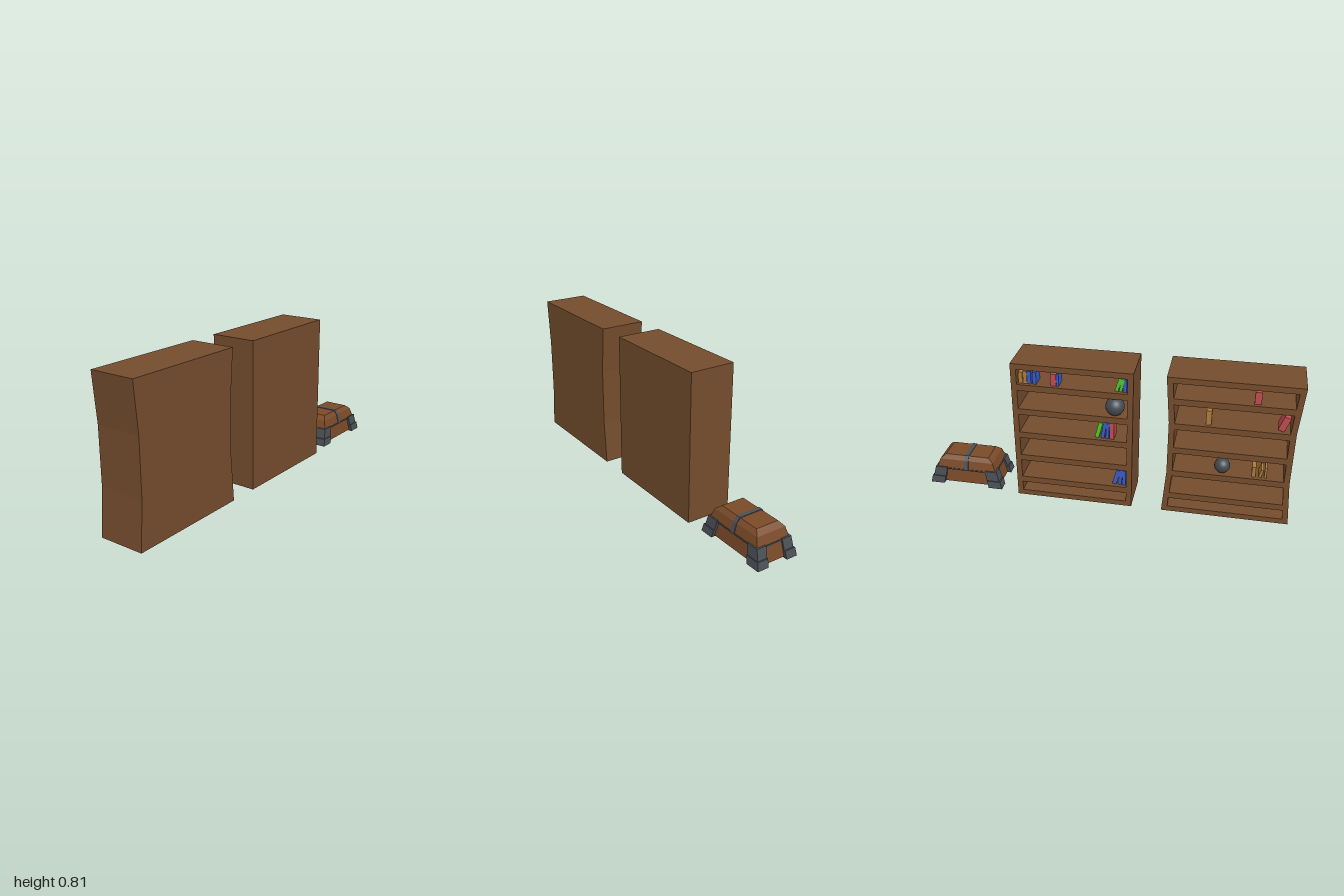
import * as THREE from 'three';

const mat = (name, color) => Object.assign(new THREE.MeshStandardMaterial({ color }), { name });

export function createModel() {
  const M = {
    wood: mat('shelf wood', 0x744c2d),
    chest: mat('chest wood', 0x7a4a28),
    iron: mat('iron', 0x4b5055),
    globe: mat('dark ball', 0x454b50),
    green: mat('green cover', 0x4fc92a),
    blue: mat('blue cover', 0x3a5cc8),
    red: mat('red cover', 0xc04c52),
    gold: mat('gold cover', 0xae7c3c),
  };
  const root = new THREE.Group();
  const add = (parent, name, geo, material) => {
    const m = new THREE.Mesh(geo, material);
    m.name = name;
    parent.add(m);
    return m;
  };
  const group = (name) => {
    const g = new THREE.Group();
    g.name = name;
    root.add(g);
    return g;
  };

  // Bookcases: outline in z/y pushed along x, open towards -x
  const H = 0.805, FRONT = -0.12, BACK = 0.13, SIDE = 0.03;
  const shelfTops = [0.03, 0.12, 0.262, 0.404, 0.546, 0.688];
  const slab = (shape, x0, x1) => new THREE.ExtrudeGeometry(shape, { depth: x1 - x0, bevelEnabled: false })
    .rotateY(-Math.PI / 2).translate(x1, 0, 0);

  function bookcase(name, cz, halfBase, waist) {
    const g = group(name);
    const kinks = [0.25, 0.55];
    const half = (y) => {
      const t = y < kinks[0] ? 1 - y / kinks[0] : Math.max(0, (y - kinks[1]) / (H - kinks[1]));
      return halfBase - waist * (1 - t);
    };
    const outline = (y0, y1, inset) => {
      const ys = [y0, ...kinks.filter((k) => waist && k > y0 && k < y1), y1];
      const right = ys.map((y) => new THREE.Vector2(cz + half(y) - inset, y));
      const left = ys.map((y) => new THREE.Vector2(cz - half(y) + inset, y)).reverse();
      return [...right, ...left];
    };
    const frame = new THREE.Shape(outline(0, H, 0));
    shelfTops.forEach((y, i) => {
      const top = i < 5 ? shelfTops[i + 1] - 0.035 : H - 0.032;
      frame.holes.push(new THREE.Path(outline(y, top, SIDE)));
    });
    add(g, 'frameAndShelves', slab(frame, FRONT, 0.11), M.wood);
    add(g, 'backPanel', slab(new THREE.Shape(outline(0, H, 0)), 0.11, BACK), M.wood);
    return g;
  }
  const straight = bookcase('straightBookcase', -0.16, 0.32, 0);
  const curved = bookcase('curvedBookcase', 0.6625, 0.3375, 0.02);

  // Books: [colour, shelf, z start, thickness, height, lean]
  function books(parent, rows) {
    for (const [color, shelf, z, t, h, lean = 0] of rows) {
      const b = add(parent, color + 'Book',
        new THREE.BoxGeometry(0.075, h, t).translate(0, h / 2, -t / 2), M[color]);
      b.position.set(-0.062, shelfTops[shelf], z + t);
      b.rotation.x = lean;
    }
  }
  books(straight, [
    ['gold', 5, -0.445, 0.022, 0.062], ['gold', 5, -0.42, 0.02, 0.07],
    ['blue', 5, -0.398, 0.02, 0.07], ['blue', 5, -0.37, 0.02, 0.066],
    ['red', 5, -0.275, 0.03, 0.066], ['blue', 5, -0.243, 0.012, 0.07],
    ['green', 5, 0.06, 0.018, 0.074, 0.3], ['green', 5, 0.083, 0.015, 0.07, 0.2],
    ['blue', 5, 0.105, 0.018, 0.07],
    ['green', 3, -0.045, 0.022, 0.092, 0.25], ['blue', 3, -0.012, 0.018, 0.095, 0.15],
    ['blue', 3, 0.014, 0.016, 0.09, 0.05], ['red', 3, 0.034, 0.025, 0.095],
    ['blue', 1, 0.05, 0.024, 0.09, 0.25], ['blue', 1, 0.082, 0.018, 0.095, 0.12],
    ['blue', 1, 0.106, 0.018, 0.09],
  ]);
  books(curved, [
    ['red', 5, 0.76, 0.034, 0.066],
    ['red', 4, 0.885, 0.034, 0.08, 0.35],
    ['gold', 4, 0.53, 0.028, 0.08],
    ['gold', 2, 0.785, 0.02, 0.06], ['gold', 2, 0.82, 0.014, 0.045, 0.25],
    ['gold', 2, 0.85, 0.012, 0.06],
  ]);

  // Ornamental balls
  const ball = (parent, r, y, z) =>
    add(parent, 'ball', new THREE.SphereGeometry(r, 24, 16), M.globe).position.set(-0.08, y, z);
  ball(straight, 0.05, 0.593, 0.06);
  ball(curved, 0.041, 0.303, 0.63);

  // Stacked rectangular sections [y, cx, cz, halfX, halfZ], capped and faceted
  function loft(sections) {
    const pos = [], idx = [];
    for (const [y, cx, cz, hx, hz] of sections)
      for (const [sx, sz] of [[-1, 1], [1, 1], [1, -1], [-1, -1]]) pos.push(cx + sx * hx, y, cz + sz * hz);
    const quad = (a, b, c, d) => idx.push(a, b, c, a, c, d);
    for (let s = 0; s < sections.length - 1; s++)
      for (let k = 0; k < 4; k++) {
        const a = s * 4 + k, b = s * 4 + (k + 1) % 4;
        quad(a, b, b + 4, a + 4);
      }
    quad(3, 2, 1, 0);
    const n = sections.length * 4;
    quad(n - 4, n - 3, n - 2, n - 1);
    const g = new THREE.BufferGeometry();
    g.setAttribute('position', new THREE.Float32BufferAttribute(pos, 3));
    g.setIndex(idx);
    const flat = g.toNonIndexed();
    flat.computeVertexNormals();
    return flat;
  }

  // Chest
  const chest = group('chest');
  chest.position.set(0.005, 0, -0.79);
  add(chest, 'chestBody', loft([[0.015, 0, 0, 0.1, 0.19], [0.098, 0, 0, 0.09, 0.172]]), M.chest);
  const lid = [[0.1, 0.098, 0.172], [0.15, 0.085, 0.154], [0.173, 0.065, 0.125]];
  add(chest, 'lid', loft(lid.map(([y, hx, hz]) => [y, 0, 0, hx, hz])), M.chest);
  add(chest, 'rimBand', loft([[0.094, 0, 0, 0.1, 0.176], [0.102, 0, 0, 0.1, 0.176]]), M.iron);
  add(chest, 'lidStrap', loft(lid.map(([y, hx], i) => [y + (i === 2 ? 0.003 : 0), 0, 0, hx + 0.003, 0.012])), M.iron);

  // Splayed iron corner legs, each with a heavier foot
  for (const sx of [-1, 1])
    for (const sz of [-1, 1]) {
      const side = sz > 0 ? 'Front' : 'Back';
      const hand = sx > 0 ? 'left' : 'right';
      add(chest, hand + side + 'Foot', loft([
        [0.008, sx * 0.088, sz * 0.171, 0.031, 0.039],
        [0.05, sx * 0.083, sz * 0.161, 0.031, 0.039],
      ]), M.iron);
      add(chest, hand + side + 'Leg', loft([
        [0.05, sx * 0.081, sz * 0.157, 0.028, 0.036],
        [0.106, sx * 0.076, sz * 0.145, 0.028, 0.034],
      ]), M.iron);
    }
  return root;
}
